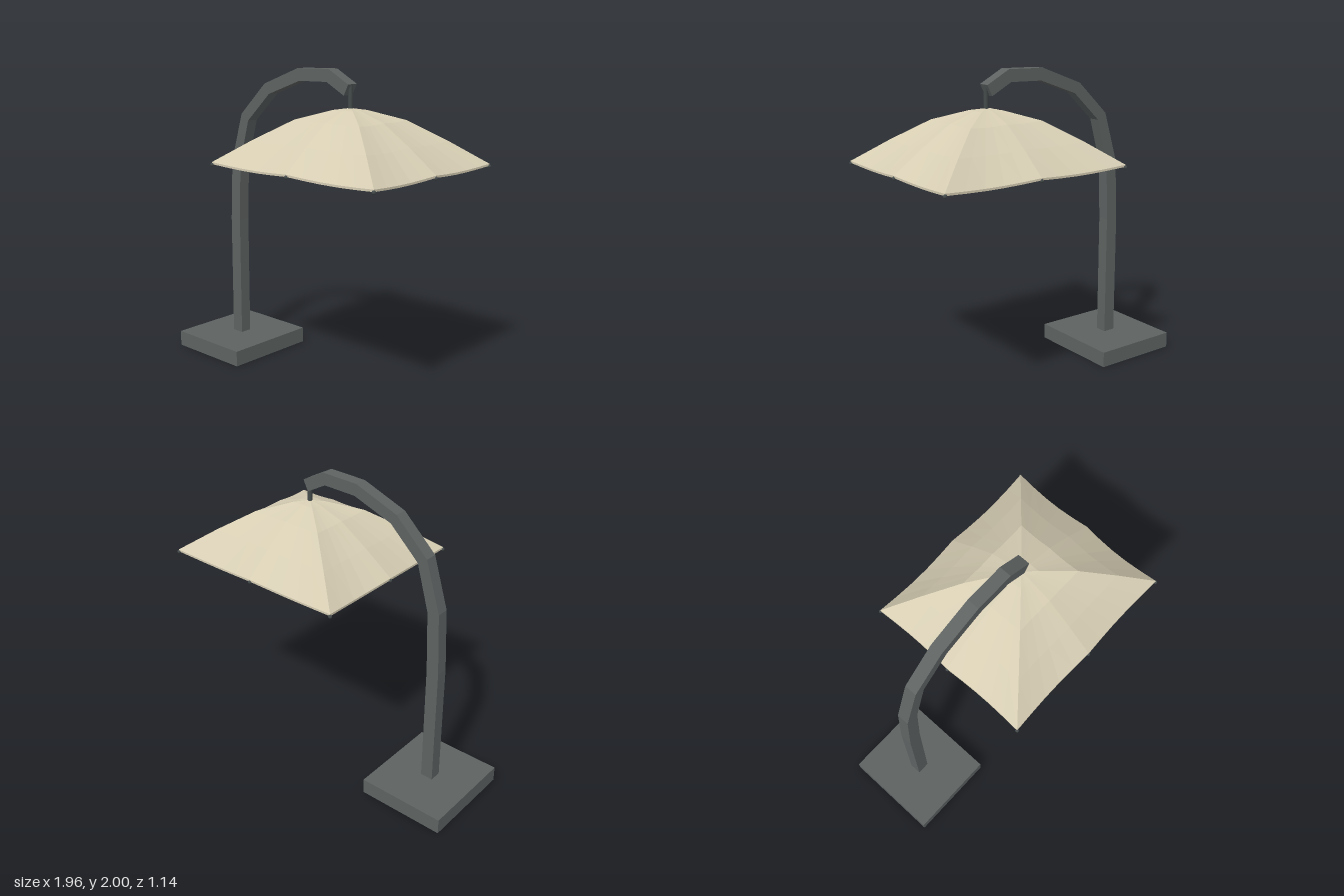
import * as THREE from 'three';

const CX = 0.32, HALF_X = 0.642, HALF_Z = 0.557;
// canopy profile: [fraction from centre to rim, height]
const PROFILE = [[0, 1.772], [0.12, 1.76], [0.4, 1.7], [0.7, 1.575], [1, 1.436]];
// rib directions: edge middles and corners
const RIBS = [[1, 0], [1, -1], [0, -1], [-1, -1], [-1, 0], [-1, 1], [0, 1], [1, 1]];

export function createModel() {
  const model = new THREE.Group();
  model.name = 'cantileverParasol';

  const steel = new THREE.MeshStandardMaterial({ color: 0x5e6362 });
  steel.name = 'grey steel';
  const dark = new THREE.MeshStandardMaterial({ color: 0x444a4a });
  dark.name = 'dark frame';
  const fabric = new THREE.MeshStandardMaterial({ color: 0xd6cdb3, side: THREE.DoubleSide });
  fabric.name = 'beige fabric';

  const add = (name, geometry, material, parent = model) => {
    const mesh = new THREE.Mesh(geometry, material);
    mesh.name = name;
    parent.add(mesh);
    return mesh;
  };

  // round bar between two points
  const bar = (name, a, b, radius, parent) => {
    const dir = b.clone().sub(a);
    const mesh = add(name, new THREE.CylinderGeometry(radius, radius, dir.length(), 8), dark, parent);
    mesh.position.copy(a).add(b).multiplyScalar(0.5);
    mesh.quaternion.setFromUnitVectors(new THREE.Vector3(0, 1, 0), dir.normalize());
    return mesh;
  };

  // base slab
  add('base', new THREE.BoxGeometry(0.594, 0.105, 0.65), steel).position.set(-0.686, 0.0525, 0);

  // bent square mast, outer edge up and inner edge back down
  const outer = [[-0.73, 0.1], [-0.73, 0.93], [-0.71, 1.34], [-0.608, 1.67], [-0.383, 1.883],
    [-0.085, 1.994], [0.175, 2], [0.334, 1.915]];
  const inner = [[-0.645, 0.1], [-0.645, 0.93], [-0.629, 1.33], [-0.545, 1.628], [-0.343, 1.818],
    [-0.07, 1.916], [0.16, 1.921], [0.3, 1.846]];
  const side = new THREE.Shape([...outer, ...inner.reverse()].map(([x, y]) => new THREE.Vector2(x, y)));
  const mast = new THREE.ExtrudeGeometry(side, { depth: 0.08, bevelEnabled: false });
  add('mast', mast.translate(0, 0, -0.04), steel);

  // canopy: square rings that sag a little between the ribs, closed by a short hem
  const STEPS = 5;
  const rings = [...PROFILE, [1, PROFILE[4][1] - 0.013]].map(([t, y]) => {
    const ring = [];
    RIBS.forEach((a, k) => {
      const b = RIBS[(k + 1) % RIBS.length];
      for (let i = 0; i < STEPS; i++) {
        const s = i / STEPS, sag = Math.sin(Math.PI * s) * t;
        const pull = t * (1 - 0.022 * sag);
        ring.push([
          CX + HALF_X * pull * (a[0] + (b[0] - a[0]) * s),
          y - 0.013 * sag,
          HALF_Z * pull * (a[1] + (b[1] - a[1]) * s),
        ]);
      }
    });
    return ring;
  });
  const verts = [];
  for (let r = 0; r < rings.length - 1; r++) {
    const top = rings[r], low = rings[r + 1], n = top.length;
    for (let i = 0; i < n; i++) {
      const j = (i + 1) % n;
      verts.push(...top[i], ...low[i], ...low[j]);
      if (r > 0) verts.push(...top[i], ...low[j], ...top[j]);
    }
  }
  const canopy = new THREE.BufferGeometry();
  canopy.setAttribute('position', new THREE.Float32BufferAttribute(verts, 3));
  canopy.computeVertexNormals();
  add('canopy', canopy, fabric);

  // hanger and hubs on the canopy axis
  const axis = (y) => new THREE.Vector3(CX, y, 0);
  bar('hanger', axis(1.54), axis(1.91), 0.015, model);
  bar('upperHub', axis(1.705), axis(1.745), 0.04, model);
  bar('runnerHub', axis(1.53), axis(1.57), 0.04, model);

  // ribs under the fabric, tips at the rim and struts from the runner hub
  const frame = new THREE.Group();
  frame.name = 'ribFrame';
  model.add(frame);
  RIBS.forEach(([sx, sz]) => {
    const at = (t, y) => new THREE.Vector3(CX + HALF_X * t * sx, y, HALF_Z * t * sz);
    const points = PROFILE.slice(1).map(([t, y]) => at(t, y - 0.018));
    for (let i = 0; i < points.length - 1; i++) bar('rib', points[i], points[i + 1], 0.009, frame);
    bar('strut', at(0.04, 1.55), at(0.55, 1.618), 0.008, frame);
    add('ribTip', new THREE.SphereGeometry(0.012, 8, 6), dark, frame).position.copy(at(0.998, 1.42));
  });

  return model;
}
